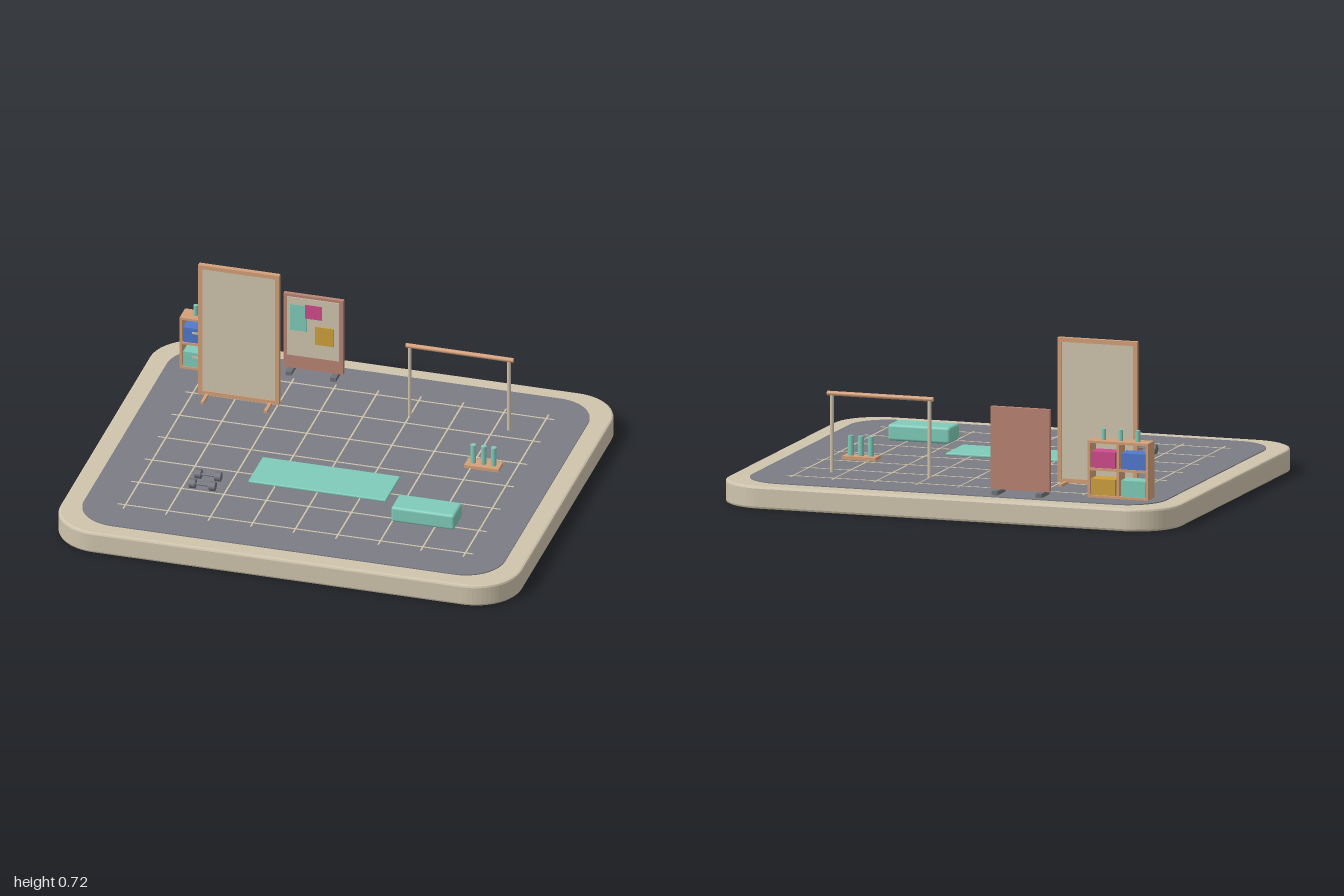
import * as THREE from 'three';
import { RoundedBoxGeometry } from 'three/addons/geometries/RoundedBoxGeometry.js';

const mat = (name, color) => {
  const m = new THREE.MeshStandardMaterial({ color });
  m.name = name;
  return m;
};

export function createModel() {
  const root = new THREE.Group();
  root.name = 'exerciseStudio';
  const cream = mat('cream', 0xcfc4ad), slate = mat('slate floor', 0x7c7d84), wood = mat('wood', 0xd39f78);
  const clay = mat('clay', 0xb98473), teal = mat('teal', 0x7fcbb9), pink = mat('pink', 0xcf4a8c);
  const ochre = mat('ochre', 0xcda03c), blue = mat('blue', 0x5078cc), iron = mat('iron', 0x707178);
  const FLOOR = 0.1;

  const group = (name) => {
    const g = new THREE.Group();
    g.name = name;
    root.add(g);
    return g;
  };
  const add = (parent, name, geo, material, x, y, z) => {
    const m = new THREE.Mesh(geo, material);
    m.name = name;
    m.position.set(x, y, z);
    parent.add(m);
    return m;
  };
  // Box given by its min and max along each axis
  const box = (parent, name, material, x0, x1, y0, y1, z0, z1) =>
    add(parent, name, new THREE.BoxGeometry(x1 - x0, y1 - y0, z1 - z0), material,
      (x0 + x1) / 2, (y0 + y1) / 2, (z0 + z1) / 2);
  const rod = (parent, name, material, r, h, x, y, z, sides = 12) =>
    add(parent, name, new THREE.CylinderGeometry(r, r, h, sides), material, x, y, z);

  // Flat slab with rounded corners, from y0 to y1
  const slab = (name, material, hx, hz, r, y0, y1, bevel) => {
    const x = hx - bevel, z = hz - bevel, q = r - bevel, s = new THREE.Shape();
    s.absarc(x - q, z - q, q, 0, Math.PI / 2);
    s.absarc(-x + q, z - q, q, Math.PI / 2, Math.PI);
    s.absarc(-x + q, -z + q, q, Math.PI, Math.PI * 1.5);
    s.absarc(x - q, -z + q, q, Math.PI * 1.5, Math.PI * 2);
    const geo = new THREE.ExtrudeGeometry(s, {
      depth: y1 - y0 - 2 * bevel, curveSegments: 8, bevelEnabled: bevel > 0,
      bevelSize: bevel, bevelThickness: bevel, bevelSegments: 2,
    });
    geo.rotateX(-Math.PI / 2);
    add(root, name, geo, material, 0, y0 + bevel, 0);
  };
  slab('base', cream, 1, 0.862, 0.2, 0, 0.096, 0.01);
  slab('floor', slate, 0.912, 0.784, 0.17, 0.09, FLOOR, 0);

  // Floor grid lines
  const lines = group('floorLines');
  for (let i = -4; i <= 4; i++) {
    const x = i * 0.184;
    box(lines, 'lineAlongDepth', cream, x - 0.0035, x + 0.0035, FLOOR - 0.002, FLOOR + 0.002, -0.635, 0.635);
  }
  for (let i = -3; i <= 3; i++) {
    const z = i * 0.2;
    box(lines, 'lineAcross', cream, -0.77, 0.77, FLOOR - 0.002, FLOOR + 0.0015, z - 0.0035, z + 0.0035);
  }

  // Standing mirror with wooden frame
  const mirror = group('mirror');
  box(mirror, 'mirrorPanel', cream, -0.695, -0.375, 0.12, 0.705, -0.408, -0.394);
  for (const x of [-0.711, -0.379]) box(mirror, 'frameSide', wood, x, x + 0.018, 0.105, 0.718, -0.412, -0.39);
  for (const y of [0.105, 0.7]) box(mirror, 'frameRail', wood, -0.711, -0.361, y, y + 0.018, -0.412, -0.39);
  for (const x of [-0.673, -0.399]) box(mirror, 'mirrorFoot', wood, x - 0.007, x + 0.007, FLOOR, 0.112, -0.487, -0.318);

  // Pin board with paper notes
  const board = group('pinBoard');
  box(board, 'boardBack', clay, -0.43, -0.172, 0.118, 0.467, -0.712, -0.694);
  box(board, 'boardSheet', cream, -0.414, -0.188, 0.18, 0.455, -0.695, -0.69);
  const notes = [[teal, -0.4, -0.328, 0.3, 0.422], [pink, -0.335, -0.262, 0.364, 0.428], [ochre, -0.292, -0.211, 0.247, 0.331]];
  notes.forEach(([m, x0, x1, y0, y1], i) => box(board, 'note', m, x0, x1, y0, y1, -0.691, -0.688 + i * 0.001));
  for (const x of [-0.398, -0.205]) box(board, 'boardFoot', iron, x - 0.013, x + 0.013, FLOOR, 0.118, -0.757, -0.656);

  // Open shelf with four storage bins and bottles on top
  const shelf = group('shelf');
  const sx = -0.717, sz = -0.632;
  for (const x of [-0.85, sx - 0.005, -0.594]) box(shelf, 'upright', wood, x, x + 0.01, FLOOR, 0.335, -0.672, -0.592);
  for (const y of [FLOOR, 0.215, 0.33]) box(shelf, 'shelfBoard', wood, -0.85, -0.584, y, y + 0.01, -0.673, -0.591);
  const bins = [[blue, -1, 0.226], [pink, 1, 0.226], [teal, -1, 0.111], [ochre, 1, 0.111]];
  for (const [m, side, y] of bins) {
    const x = sx + side * 0.066;
    box(shelf, 'bin', m, x - 0.053, x + 0.053, y, y + 0.068, -0.67, -0.594);
    box(shelf, 'binHandle', cream, x - 0.014, x + 0.014, y + 0.044, y + 0.052, -0.595, -0.591);
  }
  for (const i of [-1, 0, 1]) rod(shelf, 'bottle', teal, 0.01, 0.048, sx + i * 0.075, 0.363, sz);

  // Hanging bar
  const rack = group('hangingBar');
  rod(rack, 'bar', wood, 0.01, 0.466, 0.4, 0.433, -0.465).rotation.z = Math.PI / 2;
  for (const x of [0.183, 0.613]) rod(rack, 'post', cream, 0.008, 0.33, x, 0.263, -0.465);

  // Bottle tray
  const tray = group('bottleTray');
  box(tray, 'tray', wood, 0.525, 0.674, FLOOR, 0.114, -0.169, -0.1);
  for (const i of [-1, 0, 1]) rod(tray, 'bottle', teal, 0.012, 0.085, 0.6 + i * 0.044, 0.155, -0.134);

  // Exercise mat and cushion block
  add(root, 'exerciseMat', new RoundedBoxGeometry(0.596, 0.011, 0.215, 2, 0.004), teal, -0.002, 0.105, 0.168);
  add(root, 'cushionBlock', new RoundedBoxGeometry(0.274, 0.07, 0.124, 3, 0.012), teal, 0.5, 0.135, 0.368);

  // Dumbbells
  for (const z of [0.292, 0.378]) {
    const bell = group('dumbbell');
    rod(bell, 'grip', iron, 0.005, 0.1, -0.467, 0.12, z, 8).rotation.z = Math.PI / 2;
    for (const s of [-1, 1]) rod(bell, 'weight', iron, 0.02, 0.026, -0.467 + s * 0.043, 0.12, z).rotation.z = Math.PI / 2;
  }
  return root;
}
